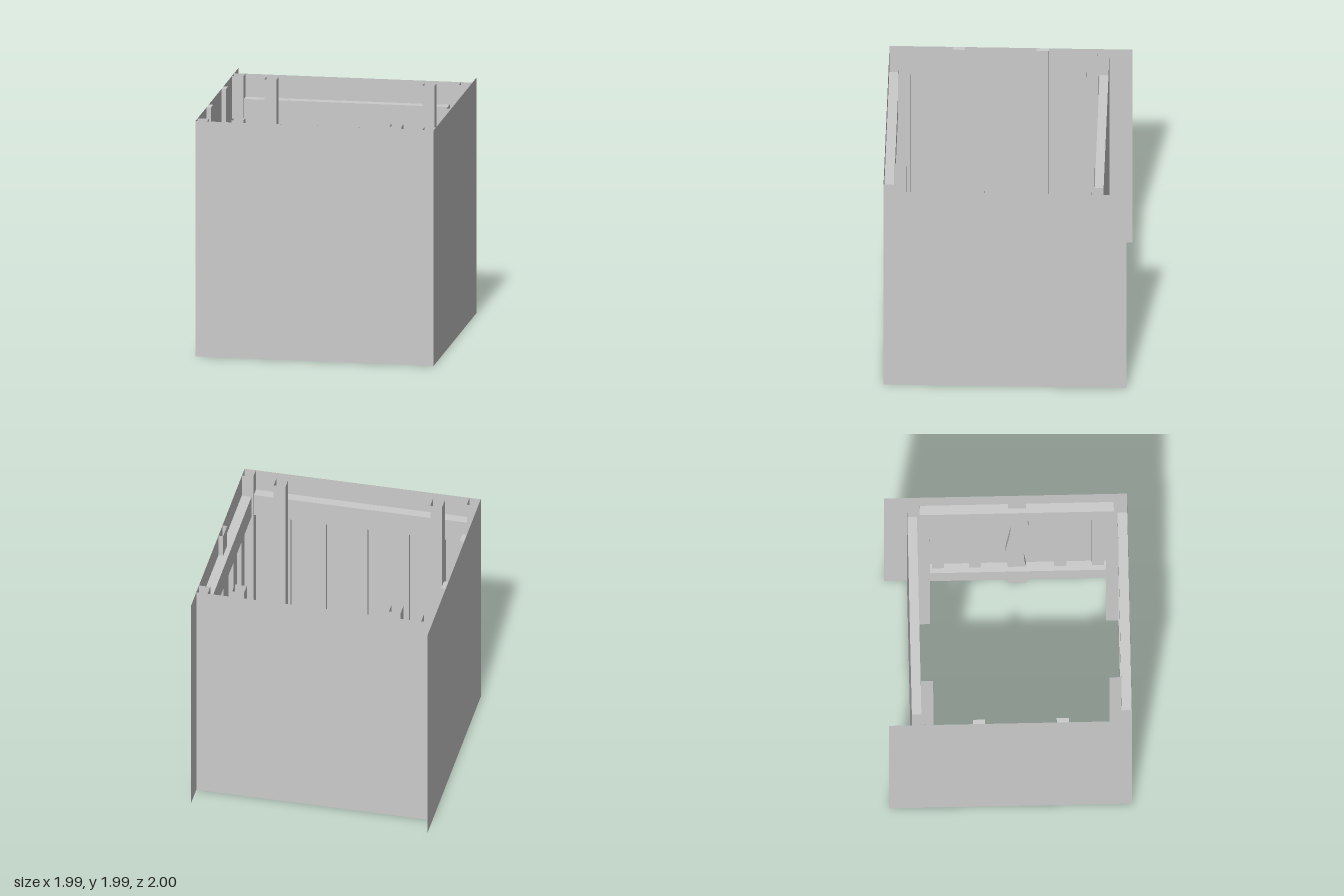
import * as THREE from 'three';

const H = 1.985;              // overall height
const X = 0.995, ZF = 1, ZB = -0.81; // wall planes
const RAIL_LOW = [0.2, 0.39], RAIL_HIGH = [1.59, 1.79];

const material = new THREE.MeshStandardMaterial({
  color: 0xcccccc, flatShading: true, side: THREE.DoubleSide,
});

export function createModel() {
  const model = new THREE.Group();

  function add(name, geometry) {
    const mesh = new THREE.Mesh(geometry, material);
    mesh.name = name;
    model.add(mesh);
    return mesh;
  }

  // Box from ranges; an open one has no top and bottom faces
  function block(name, [x0, x1], [y0, y1], [z0, z1], open = false) {
    const g = new THREE.BoxGeometry(x1 - x0, y1 - y0, z1 - z0);
    if (open) {
      const index = Array.from(g.index.array);
      index.splice(12, 12);
      g.setIndex(index);
      g.clearGroups();
    }
    g.translate((x0 + x1) / 2, (y0 + y1) / 2, (z0 + z1) / 2);
    return add(name, g);
  }

  // Thin outer walls; the side walls run on past the back wall
  function wall(name, width, x, z, turn) {
    const mesh = add(name, new THREE.PlaneGeometry(width, H));
    mesh.position.set(x, H / 2, z);
    mesh.rotation.y = turn;
  }
  wall('frontWall', 2 * X, 0, ZF, 0);
  wall('backWall', 2 * X, 0, ZB, Math.PI);
  wall('leftWall', 2, X, 0, Math.PI / 2);
  wall('rightWall', 2, -X, 0, -Math.PI / 2);

  // Hollow corner posts
  for (const xs of [[-X, -0.9], [0.9, X]]) {
    block('frontCornerPost', xs, [0, H], [0.9, ZF], true);
    block('backCornerPost', xs, [0, H], [ZB, -0.71], true);
  }

  // Horizontal rails on three walls
  for (const ys of [RAIL_LOW, RAIL_HIGH]) {
    block('frontRail', [-0.9, 0.9], ys, [0.92, ZF]);
    block('backRail', [-0.9, 0.9], ys, [ZB, -0.73]);
    block('leftRail', [0.913, X], ys, [-0.71, 0.89]);
  }

  // Vertical battens between the front and back rails
  const between = [RAIL_LOW[1], RAIL_HIGH[0]];
  for (const x of [-0.65, -0.35, 0, 0.35, 0.65]) {
    const xs = [x - 0.05, x + 0.05];
    block('frontBatten', xs, between, [ZF - 0.04, ZF]);
    block('backBatten', xs, between, [ZB, ZB + 0.04]);
  }

  // Battens of the left wall
  for (const z of [0.76, 0.45, -0.25, -0.555]) {
    block('leftBatten', [X - 0.04, X], between, [z - 0.05, z + 0.05]);
  }

  // Bent middle batten with straight stubs above and below the rails
  const bent = new THREE.BoxGeometry(0.04, 1.2, 0.15, 1, 16, 1);
  const p = bent.attributes.position;
  for (let i = 0; i < p.count; i++) {
    const t = p.getY(i) / 1.2 + 0.5;
    p.setZ(i, p.getZ(i) - 0.02 * Math.sin(t * Math.PI * 2));
  }
  bent.translate(X - 0.02, 0.99, 0.095);
  bent.computeVertexNormals();
  add('bentBatten', bent);
  for (const ys of [[0, RAIL_LOW[0]], [RAIL_HIGH[1], H]]) {
    block('battenStub', [X - 0.04, X], ys, [0.02, 0.17], true);
  }

  // Full-height battens of the right wall
  for (const z of [-0.26, 0.43]) {
    block('rightBatten', [-X, -0.957], [0, H], [z - 0.05, z + 0.05]);
  }

  // Hollow inner posts standing against the rails
  for (const x of [-0.66, 0.66]) {
    const xs = [x - 0.05, x + 0.05];
    block('frontInnerPost', xs, [0, H], [0.82, 0.92], true);
    block('backInnerPost', xs, [0, H], [-0.73, -0.63], true);
  }

  return model;
}
